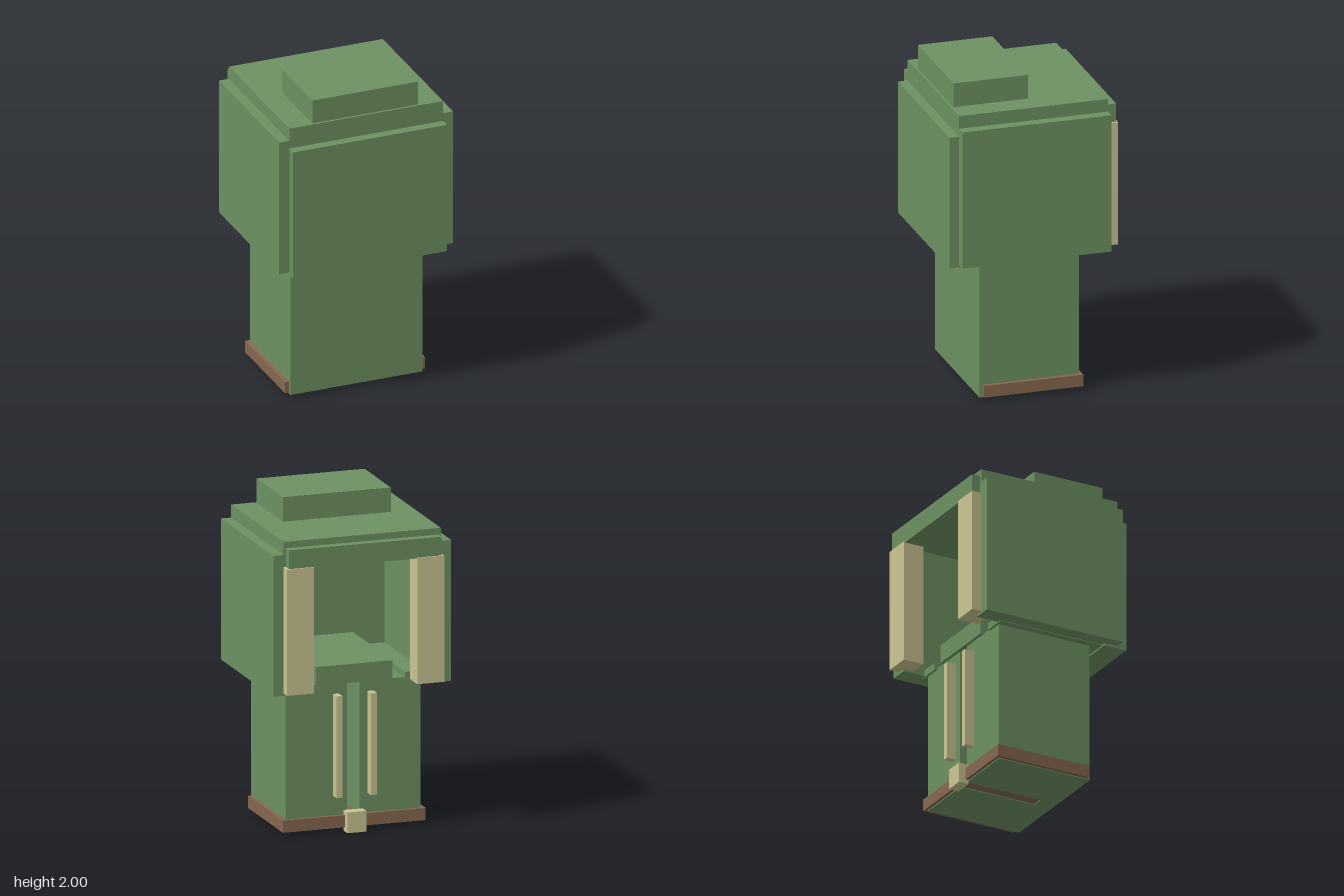
import * as THREE from 'three';

const mat = (name, color) => {
  const m = new THREE.MeshStandardMaterial({ color });
  m.name = name;
  return m;
};

export function createModel() {
  const green = mat('green cloth', 0x6d9162);
  const tan = mat('tan', 0xcbc492);
  const brown = mat('brown hem', 0x866750);
  const model = new THREE.Group();
  model.name = 'hoodedCoat';

  // Box given by its min and max on each axis
  const box = (name, material, [x0, x1], [y0, y1], [z0, z1]) => {
    const mesh = new THREE.Mesh(new THREE.BoxGeometry(x1 - x0, y1 - y0, z1 - z0), material);
    mesh.position.set((x0 + x1) / 2, (y0 + y1) / 2, (z0 + z1) / 2);
    mesh.name = name;
    model.add(mesh);
  };
  // Same box on both sides
  const pair = (name, material, [x0, x1], y, z) => {
    box(name + 'Left', material, [x0, x1], y, z);
    box(name + 'Right', material, [-x1, -x0], y, z);
  };

  // Hood shell, open at the rear and below
  box('hoodPanel', green, [-0.495, 0.495], [0.89, 1.72], [0.375, 0.525]);
  pair('hoodSide', green, [0.44, 0.56], [0.905, 1.77], [-0.465, 0.465]);
  box('hoodTop', green, [-0.495, 0.495], [1.72, 1.85], [-0.465, 0.465]);
  box('hoodKnob', green, [-0.34, 0.34], [1.85, 2.0], [-0.015, 0.45]);
  box('hoodBrim', green, [-0.48, 0.48], [1.69, 1.81], [-0.52, -0.4]);
  pair('hoodRail', green, [0.32, 0.47], [0.9, 0.945], [-0.32, 0.4]);

  // Side locks hanging at the opening
  pair('sideLock', tan, [0.325, 0.495], [0.92, 1.695], [-0.528, -0.395]);

  // Coat: two halves with a slit, joined by a panel
  pair('coatHalf', green, [0.04, 0.425], [0.02, 0.91], [-0.305, 0.2]);
  box('coatPanel', green, [-0.425, 0.425], [0.02, 0.91], [0.2, 0.315]);
  box('collar', green, [-0.24, 0.24], [0.91, 1.025], [-0.325, 0.375]);

  // Hem, straps and toe
  box('hem', brown, [-0.45, 0.45], [0.026, 0.1], [-0.325, 0.295]);
  pair('strap', tan, [0.09, 0.127], [0.22, 0.845], [-0.367, -0.3]);
  box('toe', tan, [-0.06, 0.06], [0, 0.127], [-0.37, -0.305]);

  return model;
}
